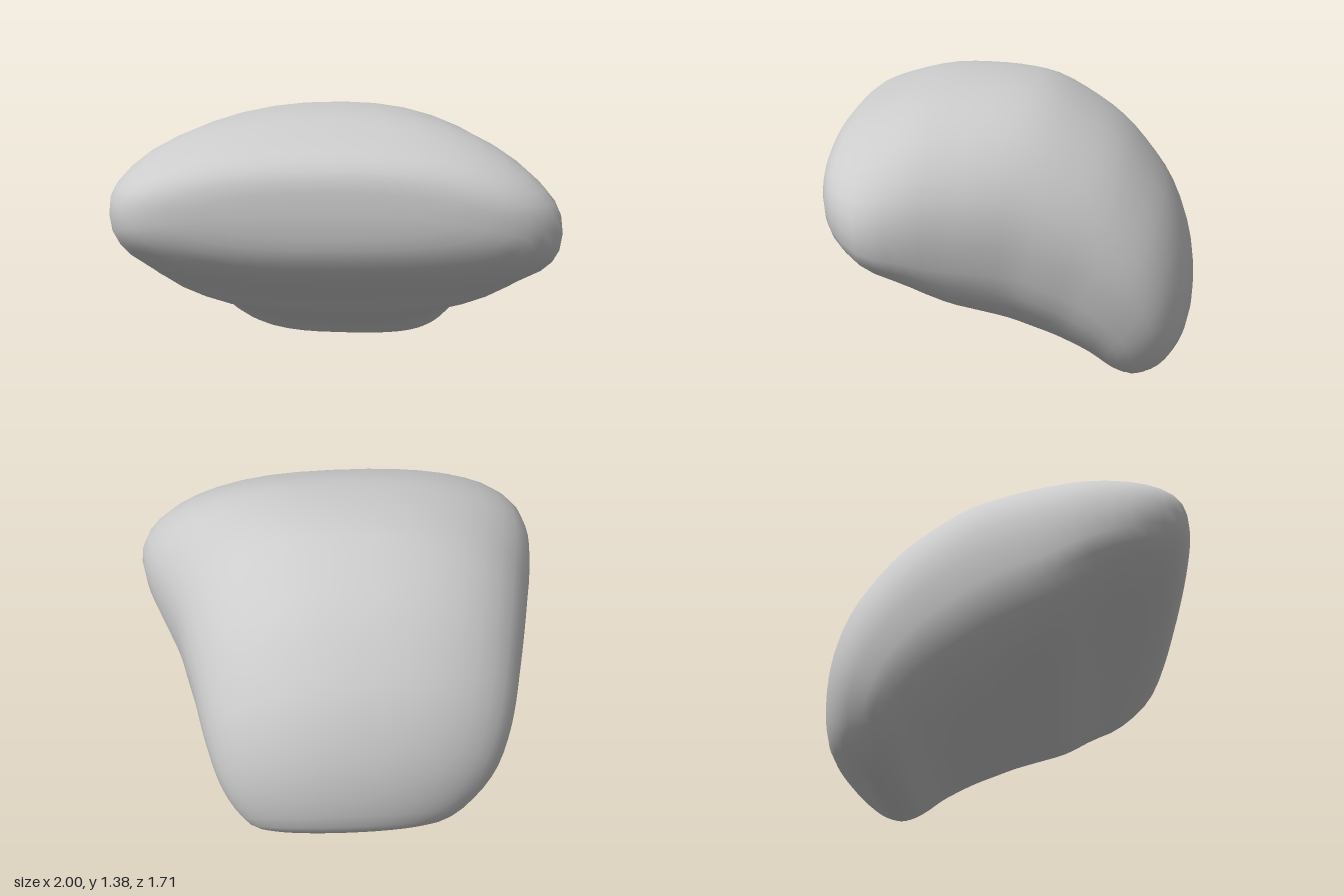
import * as THREE from 'three';

// Stations along the bent spine, front tip to bottom back:
// outer z, outer y, inner z, inner y, half width to -x, half width to +x
const STATIONS = [
  [0.828, 1.06, 0.828, 0.96, 0.42, 0.40],
  [0.81, 1.175, 0.805, 0.83, 0.73, 0.71],
  [0.74, 1.25, 0.735, 0.72, 0.89, 0.89],
  [0.60, 1.305, 0.58, 0.61, 0.985, 1.00],
  [0.40, 1.36, 0.41, 0.50, 1.00, 0.97],
  [0.20, 1.375, 0.26, 0.39, 0.975, 0.905],
  [0.02, 1.37, 0.12, 0.33, 0.935, 0.845],
  [-0.15, 1.34, 0.00, 0.28, 0.90, 0.79],
  [-0.33, 1.25, -0.10, 0.235, 0.865, 0.75],
  [-0.49, 1.14, -0.20, 0.19, 0.83, 0.71],
  [-0.62, 1.00, -0.28, 0.15, 0.80, 0.68],
  [-0.74, 0.83, -0.35, 0.11, 0.76, 0.645],
  [-0.825, 0.61, -0.41, 0.065, 0.70, 0.60],
  [-0.855, 0.40, -0.46, 0.03, 0.61, 0.54],
  [-0.835, 0.20, -0.51, 0.01, 0.49, 0.46],
  [-0.76, 0.10, -0.55, 0.003, 0.38, 0.37],
  [-0.66, 0.035, -0.59, 0.003, 0.27, 0.27],
];

// Smooth interpolation between the stations
const curve = (a, b, c) =>
  new THREE.CatmullRomCurve3(STATIONS.map((s) => new THREE.Vector3(s[a], s[b], s[c])));

function pebbleGeometry(rings, sides) {
  const outer = curve(0, 1, 4), inner = curve(2, 3, 5);
  const positions = [], index = [];

  // The right end droops a little and the front edge runs slightly askew
  const addPoint = (x, y, z) => {
    const front = THREE.MathUtils.smoothstep(z, 0, 0.8);
    positions.push(x, y - 0.08 * Math.max(0, x) ** 3, z - 0.05 * x * front);
  };

  for (let i = 0; i < rings; i++) {
    const t = i / (rings - 1);
    const o = outer.getPoint(t), n = inner.getPoint(t);
    for (let j = 0; j < sides; j++) {
      // Superellipse section: towards the back rounder outside, boxier underneath
      const a = (j / sides) * Math.PI * 2;
      const c = Math.cos(a), s = Math.sin(a);
      const p = 2 / THREE.MathUtils.lerp(2.4, s > 0 ? 2.0 : 3.0, t);
      const u = Math.sign(c) * Math.abs(c) ** p;
      const v = (1 + Math.sign(s) * Math.abs(s) ** p) / 2;
      const x = u * (u < 0 ? o.z : n.z);
      addPoint(x, n.y + (o.y - n.y) * v, n.x + (o.x - n.x) * v);
    }
  }

  // Skin between the rings
  for (let i = 0; i < rings - 1; i++) {
    for (let j = 0; j < sides; j++) {
      const k = (j + 1) % sides;
      const a = i * sides + j, b = i * sides + k;
      index.push(a, a + sides, b, b, a + sides, b + sides);
    }
  }

  // Close both ends
  const first = STATIONS[0], last = STATIONS[STATIONS.length - 1];
  const tip = rings * sides, base = (rings - 1) * sides;
  addPoint(0, (first[1] + first[3]) / 2, first[0]);
  addPoint(0, 0, (last[0] + last[2]) / 2);
  for (let j = 0; j < sides; j++) {
    const k = (j + 1) % sides;
    index.push(tip, j, k, tip + 1, base + k, base + j);
  }

  const geometry = new THREE.BufferGeometry();
  geometry.setAttribute('position', new THREE.Float32BufferAttribute(positions, 3));
  geometry.setIndex(index);
  geometry.computeVertexNormals();
  return geometry;
}

export function createModel() {
  const group = new THREE.Group();
  group.name = 'pebble';
  const stone = new THREE.MeshStandardMaterial({ color: 0xcccccc });
  stone.name = 'stone grey';
  const body = new THREE.Mesh(pebbleGeometry(40, 40), stone);
  body.name = 'stoneBody';
  group.add(body);
  return group;
}
